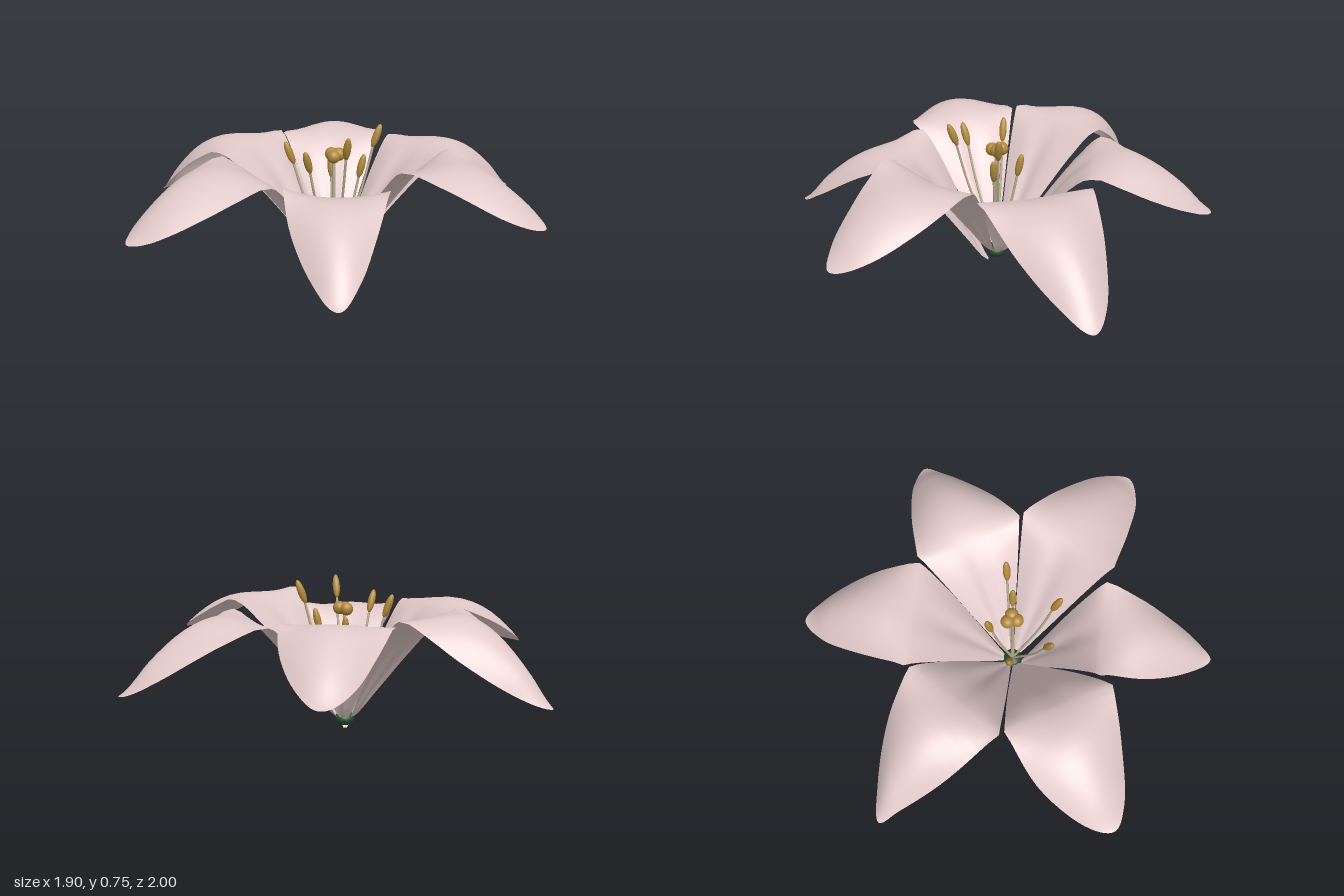
import * as THREE from 'three';

const mat = (name, color, side = THREE.FrontSide) => {
  const m = new THREE.MeshStandardMaterial({ color, side });
  m.name = name;
  return m;
};
const V = (x, y, z) => new THREE.Vector3(x, y, z);
const lerp = THREE.MathUtils.lerp;
const CENTER = V(0.01, 0, 0.02);

// Plan outlines [x, z] of each petal: two edges from widest corner outward, meeting at the tip.
// Heights: both corners, the midrib crest and the tip.
const PETALS = [
  { name: 'backPetal', a: [[-0.28, -0.44], [-0.225, -0.68], [-0.15, -0.89]], b: [[0.23, -0.46], [0.175, -0.7], [0.06, -0.91]],
    tip: [-0.05, -1], ya: 0.61, yb: 0.62, crest: 0.635, yTip: 0.38 },
  { name: 'backLeftPetal', a: [[0.27, -0.48], [0.55, -0.575], [0.8, -0.62]], b: [[0.55, -0.03], [0.73, -0.23], [0.88, -0.47]],
    tip: [0.92, -0.59], ya: 0.6, yb: 0.615, crest: 0.62, yTip: 0.3 },
  { name: 'frontLeftPetal', a: [[0.55, -0.01], [0.74, 0.14], [0.91, 0.34]], b: [[0.32, 0.45], [0.57, 0.505], [0.8, 0.53]],
    tip: [0.94, 0.485], ya: 0.655, yb: 0.67, crest: 0.655, yTip: 0.44 },
  { name: 'frontPetal', a: [[0.28, 0.43], [0.225, 0.69], [0.155, 0.9]], b: [[-0.19, 0.45], [-0.14, 0.66], [-0.03, 0.88]],
    tip: [0.08, 1], ya: 0.585, yb: 0.6, crest: 0.575, yTip: 0.28, yBase: 0.01, rootOffset: 0.025 },
  { name: 'frontRightPetal', a: [[-0.23, 0.51], [-0.46, 0.585], [-0.72, 0.64]], b: [[-0.52, 0.06], [-0.73, 0.25], [-0.85, 0.5]],
    tip: [-0.84, 0.615], ya: 0.61, yb: 0.62, crest: 0.64, yTip: 0.38 },
  { name: 'backRightPetal', a: [[-0.54, 0.04], [-0.75, -0.17], [-0.9, -0.38]], b: [[-0.29, -0.41], [-0.52, -0.48], [-0.78, -0.495]],
    tip: [-0.95, -0.465], ya: 0.63, yb: 0.63, crest: 0.64, yTip: 0.28 },
];

// Smooth height profile: rises from base to top, then falls to the tip; t = 0.5 at the corners
function heightProfile(rise, fall, base, top, tip) {
  const heights = [...rise.map(r => lerp(base, top, r)), ...fall.map(d => lerp(top, tip, d))];
  const curve = new THREE.SplineCurve(heights.map((h, i) => new THREE.Vector2(i, h)));
  return t => curve.getPoint(t).y;
}

function petalGeometry({ a, b, tip, ya, yb, crest, yTip, yBase = 0.07, rootOffset = 0.01 }) {
  const LOWER = 14, UPPER = 24, COLS = 16;
  const outline = new THREE.CatmullRomCurve3([...a, tip, ...b.toReversed()].map(([x, z]) => V(x, 0, z)), false, 'centripetal');
  const corners = [outline.getPoint(0), outline.getPoint(1)];
  const middle = corners[0].clone().lerp(corners[1], 0.5);
  const outward = middle.clone().sub(CENTER).normalize();
  const root = CENTER.clone().addScaledVector(outward, rootOffset);
  const length = V(tip[0], 0, tip[1]).sub(middle).dot(outward);

  const midY = heightProfile([0, 0.3, 0.59, 0.83, 0.96, 1], [0.16, 0.52, 1], yBase, crest, yTip);
  const rimY = [ya, yb].map(y => heightProfile([0, 0.27, 0.56, 0.82, 1], [0.18, 0.46, 0.75, 1], yBase, y, yTip));
  const positions = [], index = [];

  for (let i = 0; i <= LOWER + UPPER; i++) {
    const s = Math.min(i / LOWER, 1);
    const f = 1 - (1 - Math.max(i - LOWER, 0) / UPPER) ** 1.6;
    const bow = Math.sin(Math.PI * s);
    // Funnel part widens to the corners, slightly bowed; the blade follows the outline
    const [p, q] = i <= LOWER
      ? corners.map((c, k) => root.clone().lerp(c, 0.04 + 0.96 * s).addScaledVector(c.clone().sub(corners[1 - k]), 0.012 * bow))
      : [outline.getPoint(f / 2), outline.getPoint(1 - f / 2)];
    const along = p.clone().lerp(q, 0.5).sub(middle).dot(outward) / length;
    const t = i <= LOWER ? s / 2 : 0.5 + Math.min(Math.max(along, 0), 1) / 2;
    for (let j = 0; j <= COLS; j++) {
      const u = (j / COLS) * 2 - 1;
      const groove = 0.03 * bow * Math.exp(-((u / 0.3) ** 2));
      const y = lerp(midY(t), rimY[u < 0 ? 0 : 1](t), u * u) - groove;
      positions.push(lerp(p.x, q.x, j / COLS), y, lerp(p.z, q.z, j / COLS));
      if (i && j) {
        const n = i * (COLS + 1) + j, m = n - COLS - 1;
        index.push(m - 1, m, n - 1, m, n, n - 1);
      }
    }
  }
  const g = new THREE.BufferGeometry();
  g.setAttribute('position', new THREE.Float32BufferAttribute(positions, 3));
  g.setIndex(index);
  g.computeVertexNormals();
  return g;
}

export function createModel() {
  const group = new THREE.Group();
  const petalMat = mat('petal pink', 0xe0c9c8, THREE.DoubleSide);
  const antherMat = mat('pollen gold', 0xb08a3c);
  const stalkMat = mat('filament beige', 0xbdb094);
  const greenMat = mat('receptacle green', 0x24492b);

  const add = (name, geometry, material, parent = group) => {
    const mesh = new THREE.Mesh(geometry, material);
    mesh.name = name;
    parent.add(mesh);
    return mesh;
  };

  // Petals
  for (const p of PETALS) add(p.name, petalGeometry(p), petalMat);

  // Receptacle under the flower
  const base = add('receptacle', new THREE.SphereGeometry(0.05, 24, 16), greenMat);
  base.scale.y = 0.7;
  base.position.set(0.01, 0.072, 0.02);

  // Stamens: curved filament with an elongated anther
  const anthers = [
    [0.08, 0.705, 0.21], [0.21, 0.705, -0.04], [0.14, 0.565, 0],
    [-0.2, 0.635, 0.035], [-0.1, 0.635, 0.2], [-0.01, 0.54, -0.09],
  ];
  for (const [x, y, z] of anthers) {
    const stamen = new THREE.Group();
    stamen.name = 'stamen';
    group.add(stamen);
    const end = V(x, y, z), start = V(0.01, 0.08, 0.02);
    const lean = V((x - 0.01) * 1.8, 1, (z - 0.02) * 1.8).normalize();
    const mid = start.clone().lerp(end, 0.55).add(V((x - 0.01) * 0.08, 0, (z - 0.02) * 0.08));
    const path = new THREE.CatmullRomCurve3([start, mid, end.clone().addScaledVector(lean, -0.03)]);
    add('filament', new THREE.TubeGeometry(path, 16, 0.006, 8), stalkMat, stamen);
    const anther = add('anther', new THREE.SphereGeometry(1, 16, 12), antherMat, stamen);
    anther.scale.set(0.018, 0.06, 0.018);
    anther.position.copy(end);
    anther.quaternion.setFromUnitVectors(V(0, 1, 0), lean);
  }

  // Pistil: style with a three-lobed stigma
  const style = add('style', new THREE.CylinderGeometry(0.008, 0.01, 0.54, 12), stalkMat);
  style.position.set(0.01, 0.34, 0.02);
  for (const [x, y, z] of [[-0.003, 0.622, -0.005], [0.033, 0.625, 0.01], [0.01, 0.62, 0.038]]) {
    add('stigmaLobe', new THREE.SphereGeometry(0.032, 16, 12), antherMat).position.set(x, y, z);
  }
  return group;
}
